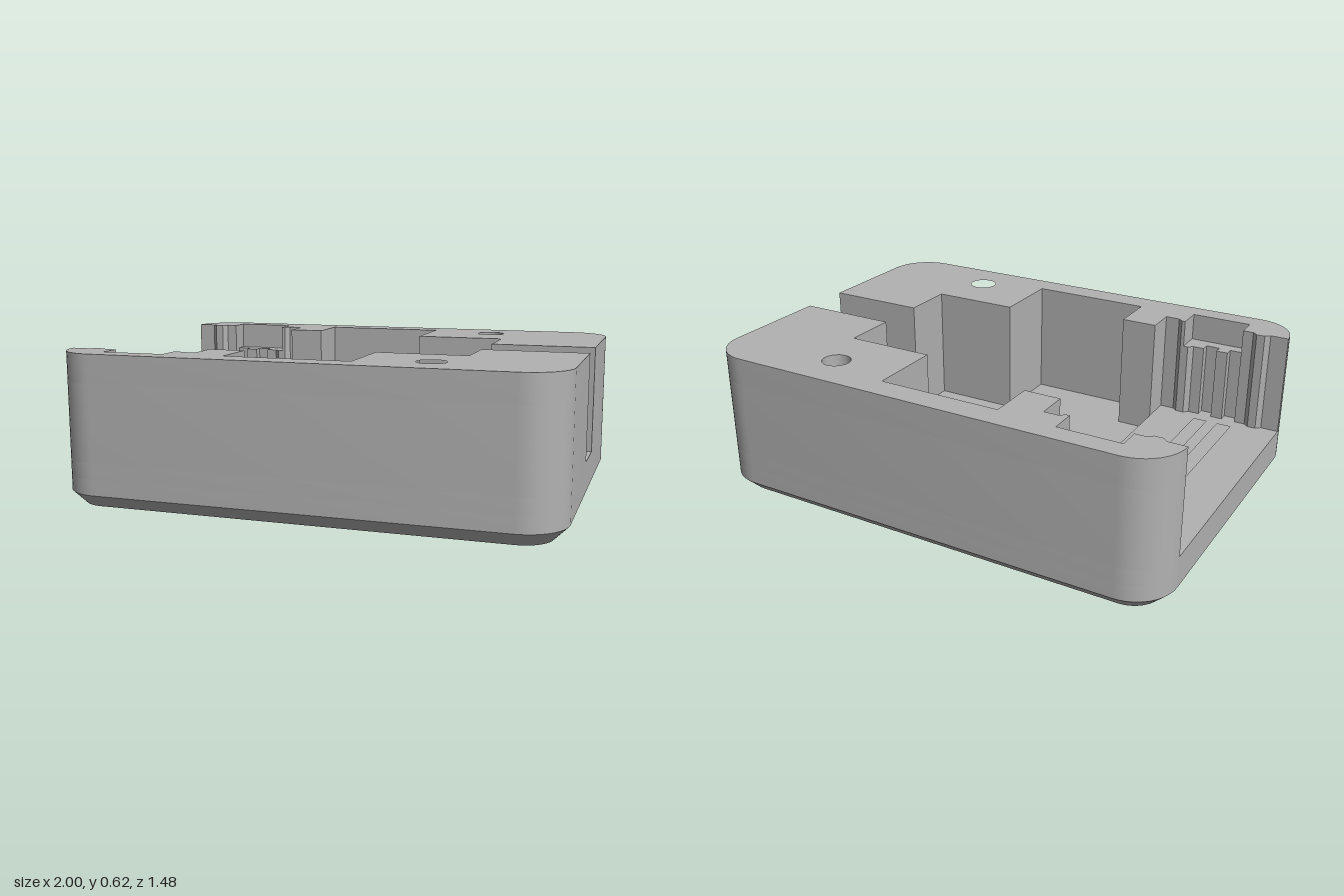
import * as THREE from 'three';
import { toCreasedNormals } from 'three/addons/utils/BufferGeometryUtils.js';

const HX = 1, HZ = 0.742, R = 0.174;          // half sizes and corner radius
const CHAMFER = 0.055, CAVITY = 0.12, FLOOR = 0.185, LEDGE = 0.5, TOP = 0.615;

// Points of a quarter-circle corner around (cx, cz), from angle a to a + 90 degrees
function corner(cx, cz, a, n = 12) {
  return Array.from({ length: n + 1 }, (_, i) => {
    const t = a + (i / n) * Math.PI / 2;
    return [cx + R * Math.cos(t), cz + R * Math.sin(t)];
  });
}

const toShape = pts => new THREE.Shape(pts.map(([x, z]) => new THREE.Vector2(x, -z)));
const toPath = pts => new THREE.Path(pts.map(([x, z]) => new THREE.Vector2(x, -z)));
const rect = (x0, x1, z) => [[x0, -z], [x1, -z], [x1, z], [x0, z]];

// Upright slab between two heights
function slab(shape, y0, y1) {
  const g = new THREE.ExtrudeGeometry(shape, { depth: y1 - y0, bevelEnabled: false, curveSegments: 20 });
  g.rotateX(-Math.PI / 2);
  g.translate(0, y0, 0);
  return g;
}

function screwHole(side) {
  const p = new THREE.Path();
  p.absarc(0.485, -0.558 * side, 0.058, 0, Math.PI * 2, true);
  return p;
}

export function createModel() {
  const group = new THREE.Group();
  group.name = 'enclosureHalf';
  const plastic = new THREE.MeshStandardMaterial({ color: 0xb2b2b2 });
  plastic.name = 'greyPlastic';

  const add = (name, geometry) => {
    const mesh = new THREE.Mesh(toCreasedNormals(geometry, 0.5), plastic);
    mesh.name = name;
    group.add(mesh);
  };

  const cx = HX - R, cz = HZ - R, Q = Math.PI / 2;
  const outline = [...corner(cx, cz, 0), ...corner(-cx, cz, Q),
    ...corner(-cx, -cz, 2 * Q), ...corner(cx, -cz, 3 * Q)];

  // Chamfered base: the bottom loop is drawn in evenly all round
  const base = slab(toShape(outline), 0, CHAMFER);
  const pos = base.attributes.position;
  for (let i = 0; i < pos.count; i++) {
    if (pos.getY(i) > CHAMFER / 2) continue;
    const x = pos.getX(i), z = pos.getZ(i), k = (R - CHAMFER) / R;
    const bx = THREE.MathUtils.clamp(x, -cx, cx), bz = THREE.MathUtils.clamp(z, -cz, cz);
    pos.setXYZ(i, bx + (x - bx) * k, 0, bz + (z - bz) * k);
  }
  add('chamferedBase', base);
  add('bottomPlate', slab(toShape(outline), CHAMFER, CAVITY));

  // Inner wall of the main cavity, from the panel bay to the cable notch
  const cavity = [[-0.455, 0.44], [-0.305, 0.44], [-0.305, 0.635], [0.205, 0.635],
    [0.205, 0.33], [0.575, 0.33]];

  // Floor layer: sunken cavity and two long panel slots
  const floor = toShape(outline);
  const step = [[-0.455, 0.44], ...cavity.slice(1)];
  floor.holes.push(toPath([...step, ...step.map(([x, z]) => [x, -z]).reverse()]));
  for (const [x0, x1] of [[-0.805, -0.745], [-0.695, -0.637]]) floor.holes.push(toPath(rect(x0, x1, 0.51)));
  // Raised bay floor reaches the bay walls; the cavity edge closes it at x = -0.455
  add('floorPlate', slab(floor, CAVITY, FLOOR));

  // Panel bay walls: ridges and grooves below, a wide pocket above
  const frontRidge = [[-0.925, 0.568], [-0.905, 0.55], [-0.87, 0.55], [-0.85, 0.568], [-0.805, 0.568]];
  const grooves = [[-0.805, 0.605], [-0.745, 0.605], [-0.745, 0.568], [-0.695, 0.568],
    [-0.695, 0.605], [-0.637, 0.605], [-0.637, 0.568], [-0.59, 0.568], [-0.57, 0.55]];
  const pocket = [[-0.805, 0.655], [-0.55, 0.655], [-0.55, 0.55]];
  const rearRidge = [[-0.535, 0.55], [-0.515, 0.568], [-0.455, 0.568]];
  const outer = [[0.575, 0.105], [1, 0.105], ...corner(cx, cz, 0), ...corner(-cx, cz, Q)];

  for (const [side, label] of [[1, 'front'], [-1, 'back']]) {
    for (const [part, detail, y0, y1] of [['LowerWall', grooves, FLOOR, LEDGE], ['UpperWall', pocket, LEDGE, TOP]]) {
      const pts = [...frontRidge, ...detail, ...rearRidge, ...cavity, ...outer];
      const shape = toShape(pts.map(([x, z]) => [x, z * side]));
      shape.holes.push(screwHole(side));
      add(label + part, slab(shape, y0, y1));
    }
  }

  // Cable grip ribs in the notch
  for (const [x0, x1] of [[0.645, 0.7], [0.85, 0.9]]) {
    add('cableRib', slab(toShape(rect(x0, x1, 0.105)), FLOOR, 0.215));
  }
  return group;
}
